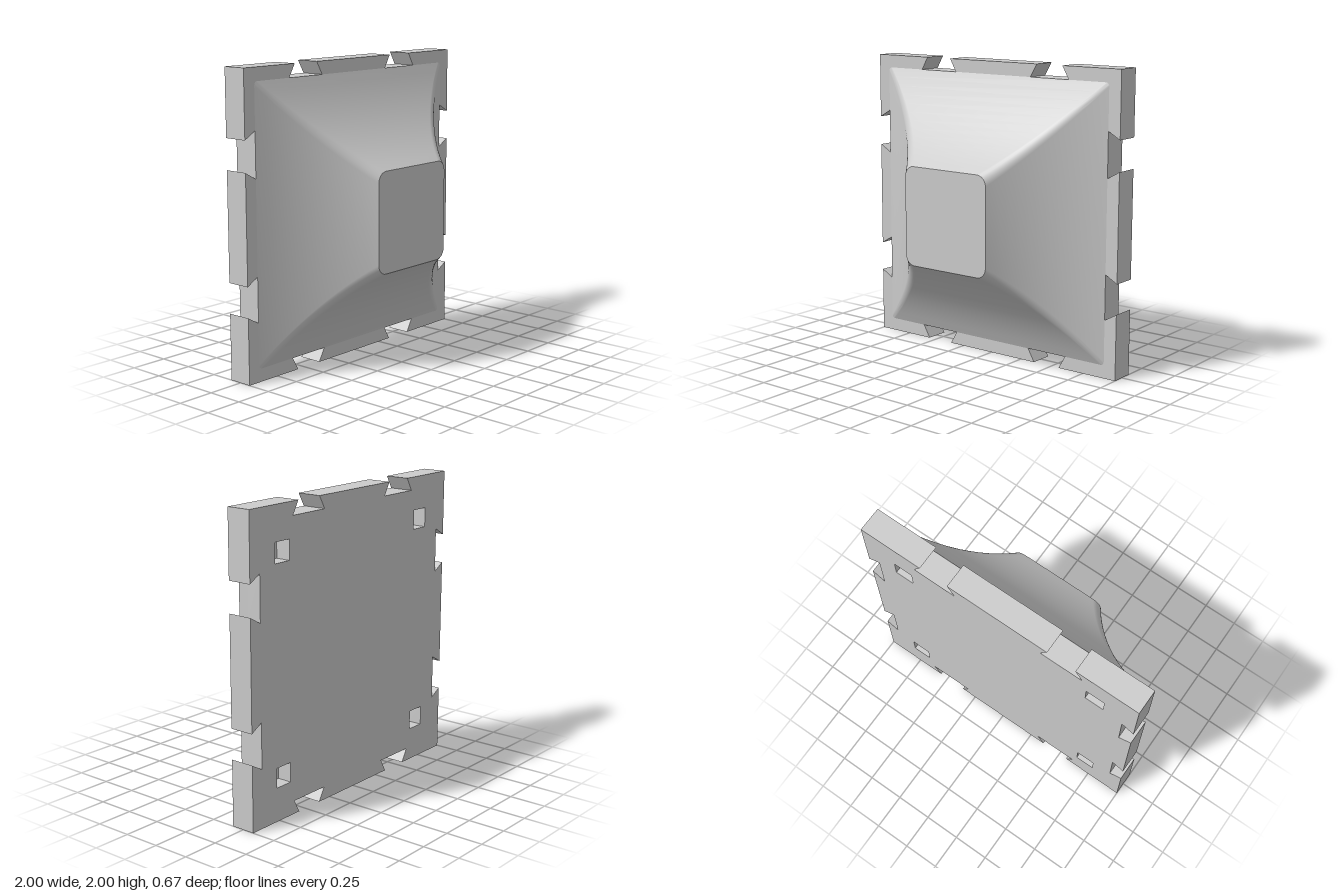
import * as THREE from 'three';
import { toCreasedNormals } from 'three/addons/utils/BufferGeometryUtils.js';

const BACK = -0.333, FLOOR = -0.233, FACE = -0.167, TIP = 0.333;

// Square outline with two dovetail notches per side, one side turned four times
function plateShape() {
  const side = [[-1, -1]];
  for (const c of [-0.46, 0.46]) {
    side.push([c - 0.1, -1], [c - 0.15, -0.913], [c + 0.15, -0.913], [c + 0.1, -1]);
  }
  const pts = [];
  for (let k = 0; k < 4; k++) {
    for (const [x, y] of side) {
      pts.push(new THREE.Vector2(x, y).rotateAround(new THREE.Vector2(), k * Math.PI / 2));
    }
  }
  return new THREE.Shape(pts);
}

function squareHole(x, y, h) {
  return new THREE.Path([[-h, -h], [-h, h], [h, h], [h, -h]].map(([a, b]) => new THREE.Vector2(x + a, y + b)));
}

// Rounded square ring, counter-clockwise seen from the front
function ring(half, radius, z, steps = 6) {
  const pts = [];
  for (let k = 0; k < 4; k++) {
    const q = k * Math.PI / 2 + Math.PI / 4;
    const d = (half - radius) * Math.SQRT2;
    for (let i = 0; i <= steps; i++) {
      const a = k * Math.PI / 2 + (i / steps) * Math.PI / 2;
      pts.push([d * Math.cos(q) + radius * Math.cos(a), d * Math.sin(q) + radius * Math.sin(a), z]);
    }
  }
  return pts;
}

// Concave flared body: rounded squares lofted along a curve, closed at the tip
function flareGeometry() {
  const curve = new THREE.QuadraticBezierCurve(
    new THREE.Vector2(0.913, FACE), new THREE.Vector2(0.55, 0.0), new THREE.Vector2(0.333, TIP));
  const rings = curve.getPoints(12).map((p, i) => ring(p.x, 0.025 + 0.045 * i / 12, p.y));
  const pos = [];
  const n = rings[0].length;
  for (let i = 0; i < rings.length - 1; i++) {
    for (let j = 0; j < n; j++) {
      const k = (j + 1) % n;
      const a = rings[i][j], b = rings[i][k], c = rings[i + 1][k], d = rings[i + 1][j];
      pos.push(...a, ...b, ...c, ...a, ...c, ...d);
    }
  }
  const top = rings[rings.length - 1];
  for (let j = 0; j < n; j++) pos.push(0, 0, TIP, ...top[j], ...top[(j + 1) % n]);
  const g = new THREE.BufferGeometry();
  g.setAttribute('position', new THREE.Float32BufferAttribute(pos, 3));
  return toCreasedNormals(g, Math.PI / 7);
}

export function createModel() {
  const group = new THREE.Group();
  group.name = 'notchedTile';
  const mat = new THREE.MeshStandardMaterial({ color: 0xcccccc });
  const add = (name, geo, z = 0) => {
    const mesh = new THREE.Mesh(geo, mat);
    mesh.name = name;
    mesh.position.set(0, 1, z);
    group.add(mesh);
  };

  // Front layer of the plate is solid
  add('plateFront', new THREE.ExtrudeGeometry(plateShape(), { depth: FACE - FLOOR, bevelEnabled: false }), FLOOR);

  // Back layer carries four square sockets
  const backShape = plateShape();
  for (const x of [-0.71, 0.71]) for (const y of [-0.71, 0.71]) backShape.holes.push(squareHole(x, y, 0.065));
  add('plateBack', new THREE.ExtrudeGeometry(backShape, { depth: FLOOR - BACK, bevelEnabled: false }), BACK);

  // Flared body on the front
  add('flaredBody', flareGeometry());
  return group;
}
